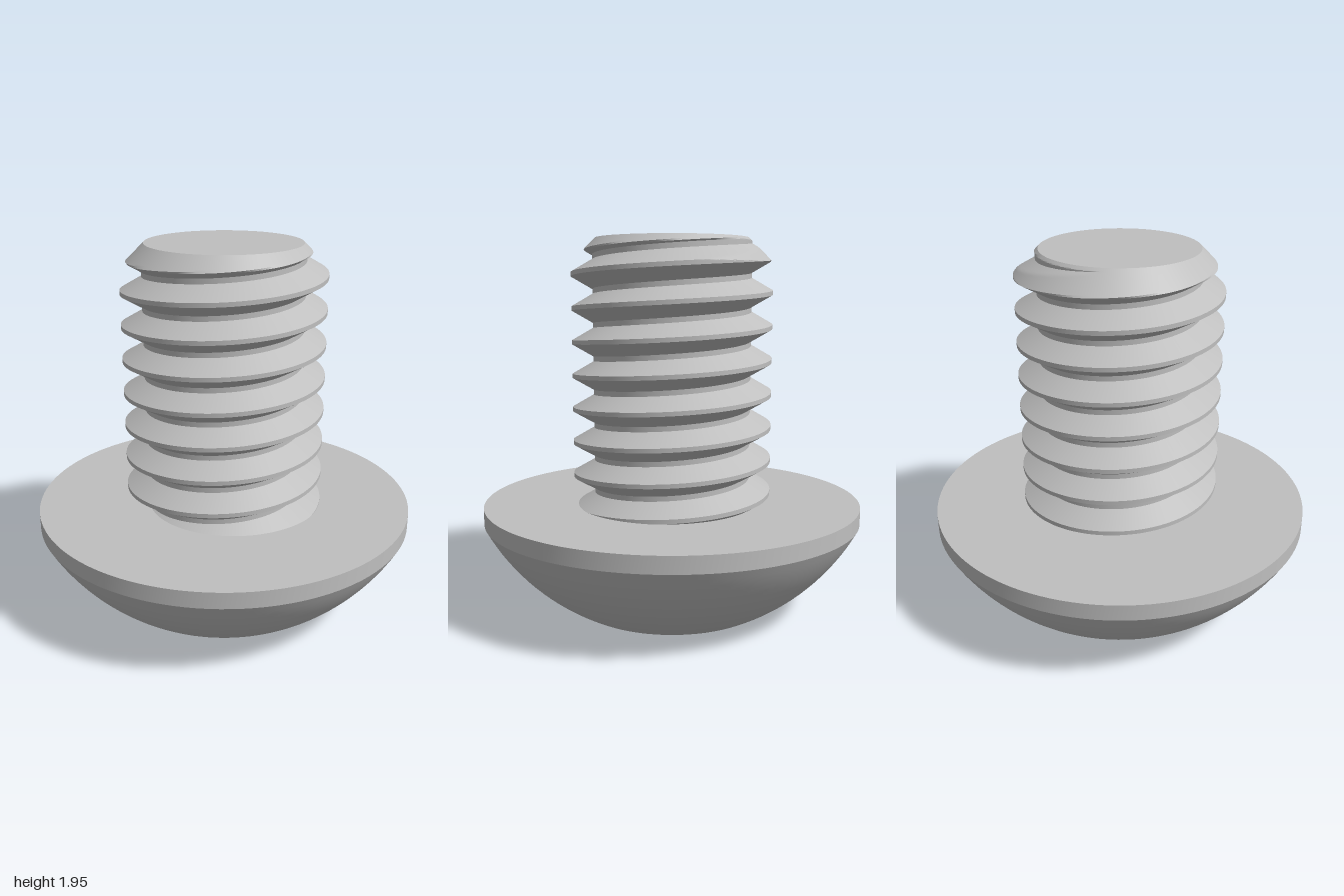
import * as THREE from 'three';
import { toCreasedNormals } from 'three/addons/utils/BufferGeometryUtils.js';

const SEGMENTS = 120;
const HEAD_TOP = 0.56, TOP = 1.945;

// Skin rows of [radius, height] around the y axis; every row may vary with the angle.
function loft(rows) {
  const positions = [];
  const point = (row, j) => {
    const a = (j / SEGMENTS) * Math.PI * 2;
    const [r, y] = row(a);
    return new THREE.Vector3(r * Math.cos(a), y, -r * Math.sin(a));
  };
  const addTriangle = (...corners) => {
    if (new THREE.Triangle(...corners).getArea() < 1e-9) return;
    for (const c of corners) positions.push(c.x, c.y, c.z);
  };
  for (let i = 0; i < rows.length - 1; i++) {
    for (let j = 0; j < SEGMENTS; j++) {
      const a = point(rows[i], j), b = point(rows[i], j + 1);
      const c = point(rows[i + 1], j + 1), d = point(rows[i + 1], j);
      addTriangle(a, b, c);
      addTriangle(a, c, d);
    }
  }
  const geometry = new THREE.BufferGeometry();
  geometry.setAttribute('position', new THREE.Float32BufferAttribute(positions, 3));
  // Enlarged while creasing so that close vertices stay distinct
  geometry.scale(20, 20, 20);
  const creased = toCreasedNormals(geometry, 0.4);
  creased.scale(1 / 20, 1 / 20, 1 / 20);
  return creased;
}

// Domed head with a hexagonal socket opening downward
function headGeometry() {
  const socketRadius = 0.407, socketDepth = 0.39;
  const apothem = socketRadius * Math.cos(Math.PI / 6);
  const hexRadius = (a) => {
    const sector = Math.PI / 3;
    return apothem / Math.cos(a - Math.round(a / sector) * sector);
  };
  const rows = [
    () => [0, socketDepth],
    (a) => [hexRadius(a), socketDepth],
    (a) => [hexRadius(a), socketRadius - hexRadius(a)], // countersunk scallops
    () => [socketRadius, 0],
  ];
  // Spherical dome, then the straight rim and the flat upper face
  const domeCentre = 1.0, domeRadius = Math.hypot(0.525, domeCentre), rimBase = 0.475;
  const start = Math.asin(0.525 / domeRadius), end = Math.asin(1 / domeRadius);
  for (let i = 0; i <= 16; i++) {
    const t = start + ((end - start) * i) / 16;
    const r = domeRadius * Math.sin(t);
    const y = i === 16 ? rimBase : domeCentre - domeRadius * Math.cos(t);
    rows.push(() => [r, y]);
  }
  rows.push(() => [1, HEAD_TOP], () => [0, HEAD_TOP]);
  return loft(rows);
}

// Right-handed helical thread with a 45 degree chamfer at the tip
function threadGeometry() {
  const pitch = 0.175, crest = 0.525, root = 0.415, tip = 0.4;
  const crestHalf = 0.011, slope = Math.sqrt(3), phase = 0.91;
  const flank = (crest - root) / slope;
  const rise = (a) => (pitch * a) / (Math.PI * 2);

  const radiusAt = (y, a) => {
    const u = THREE.MathUtils.euclideanModulo(y - phase - rise(a), pitch);
    const d = Math.min(u, pitch - u);
    const r = THREE.MathUtils.clamp(crest - (d - crestHalf) * slope, root, crest);
    return Math.min(r, tip + TOP - y);
  };

  const rows = [];
  const stops = [-crestHalf, crestHalf, crestHalf + flank, pitch - crestHalf - flank, pitch - crestHalf];
  for (let turn = -3; turn <= 6; turn++) {
    const steps = turn >= 4 ? 8 : 1; // finer where the chamfer cuts the thread
    for (let s = 0; s < 4; s++) {
      for (let i = 0; i < steps; i++) {
        const offset = THREE.MathUtils.lerp(stops[s], stops[s + 1], i / steps);
        rows.push((a) => {
          const y = THREE.MathUtils.clamp(phase + turn * pitch + offset + rise(a), HEAD_TOP, TOP);
          return [radiusAt(y, a), y];
        });
      }
    }
  }
  rows.push(() => [tip, TOP], () => [0, TOP]); // flat end
  return loft(rows);
}

export function createModel() {
  const steel = new THREE.MeshStandardMaterial({ color: 0xbfbfbf });
  steel.name = 'steel grey';

  const group = new THREE.Group();
  group.name = 'buttonHeadScrew';
  const add = (name, geometry) => {
    const mesh = new THREE.Mesh(geometry, steel);
    mesh.name = name;
    group.add(mesh);
  };
  add('head', headGeometry());
  add('threadedShank', threadGeometry());
  return group;
}
